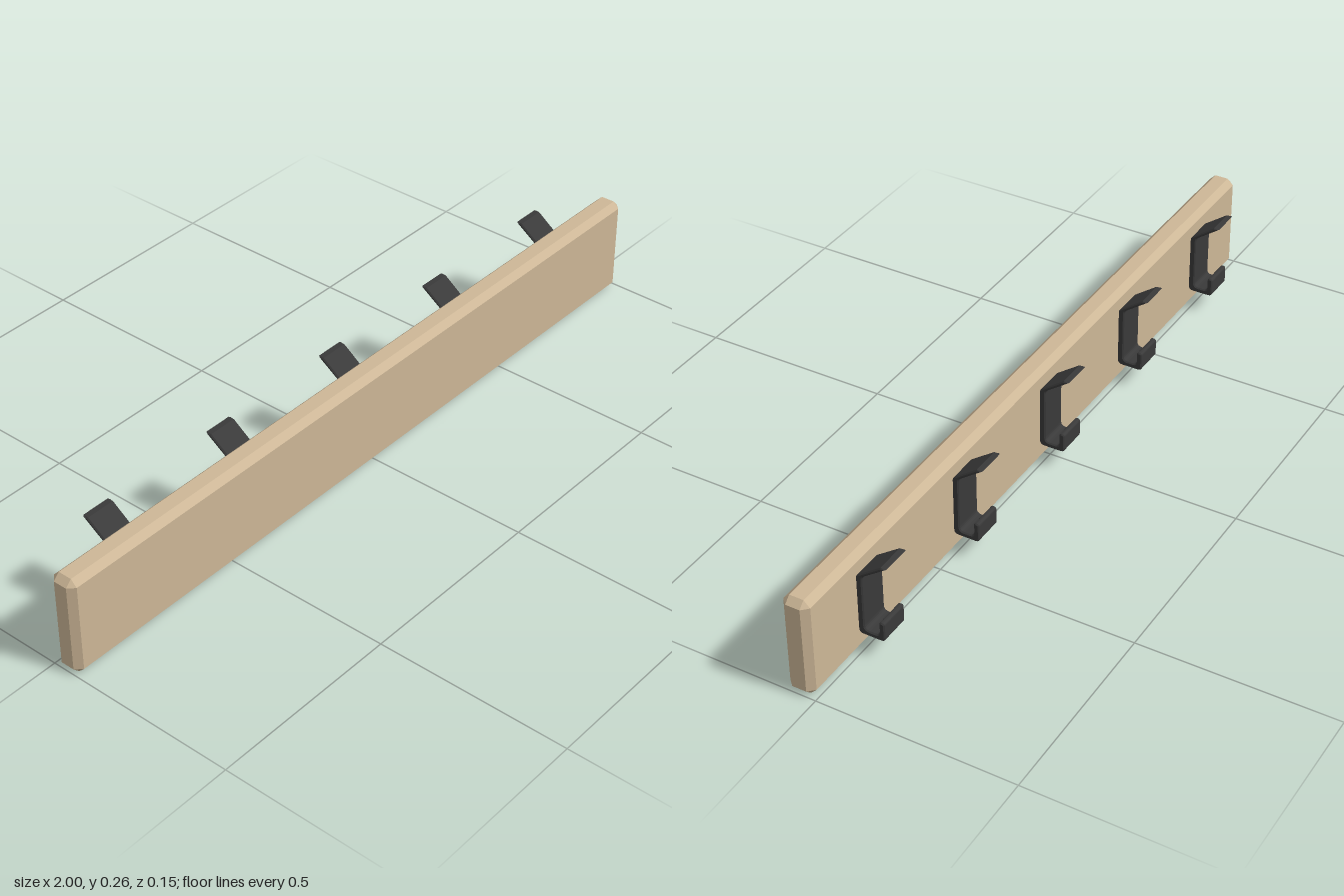
import * as THREE from 'three';
import { ConvexGeometry } from 'three/addons/geometries/ConvexGeometry.js';

const wood = new THREE.MeshStandardMaterial({ color: 0xcdb797 });
const metal = new THREE.MeshStandardMaterial({ color: 0x3a3a3a });

// Box with every edge chamfered and the corners cut to triangles
function chamferedBox(w, h, d, c) {
  const points = [];
  for (const x of [-1, 1]) for (const y of [-1, 1]) for (const z of [-1, 1]) {
    for (let full = 0; full < 3; full++) {
      const inset = [0, 1, 2].map((axis) => (axis === full ? 0 : c));
      points.push(new THREE.Vector3(
        x * (w / 2 - inset[0]), y * (h / 2 - inset[1]), z * (d / 2 - inset[2])));
    }
  }
  return new ConvexGeometry(points);
}

// Side profile of a hook: distance behind the board, height
function hookGeometry(width, bevel) {
  const s = new THREE.Shape();
  s.moveTo(-0.007, 0.064);
  s.quadraticCurveTo(-0.007, 0.052, 0.005, 0.052);
  s.lineTo(0.049, 0.052);
  s.quadraticCurveTo(0.061, 0.052, 0.061, 0.064);
  // rounded tip of the lower hook
  s.lineTo(0.061, 0.098);
  s.quadraticCurveTo(0.061, 0.104, 0.054, 0.104);
  s.quadraticCurveTo(0.047, 0.104, 0.047, 0.098);
  // inside of the hook
  s.lineTo(0.047, 0.077);
  s.quadraticCurveTo(0.047, 0.066, 0.036, 0.066);
  s.lineTo(0.021, 0.066);
  s.quadraticCurveTo(0.009, 0.066, 0.009, 0.078);
  // sloping upper arm, cut off level
  s.lineTo(0.009, 0.207);
  s.quadraticCurveTo(0.009, 0.214, 0.015, 0.218);
  s.lineTo(0.073, 0.26);
  s.lineTo(0.058, 0.26);
  s.lineTo(0, 0.218);
  s.quadraticCurveTo(-0.007, 0.213, -0.007, 0.205);
  s.closePath();
  const geometry = new THREE.ExtrudeGeometry(s, {
    depth: width - 2 * bevel, curveSegments: 4,
    bevelSize: bevel, bevelThickness: bevel, bevelOffset: -bevel, bevelSegments: 1,
  });
  geometry.translate(0, 0, -(width - 2 * bevel) / 2);
  return geometry.rotateY(Math.PI / 2);
}

export function createModel() {
  const model = new THREE.Group();
  model.name = 'hookRail';

  const board = new THREE.Mesh(chamferedBox(2, 0.26, 0.068, 0.016), wood);
  board.name = 'board';
  board.position.set(0, 0.13, 0.041);
  model.add(board);

  // Five evenly spaced hooks
  const geometry = hookGeometry(0.08, 0.003);
  for (let i = -2; i <= 2; i++) {
    const hook = new THREE.Mesh(geometry, metal);
    hook.name = `hook${i + 3}`;
    hook.position.x = i * 0.39;
    model.add(hook);
  }
  return model;
}
